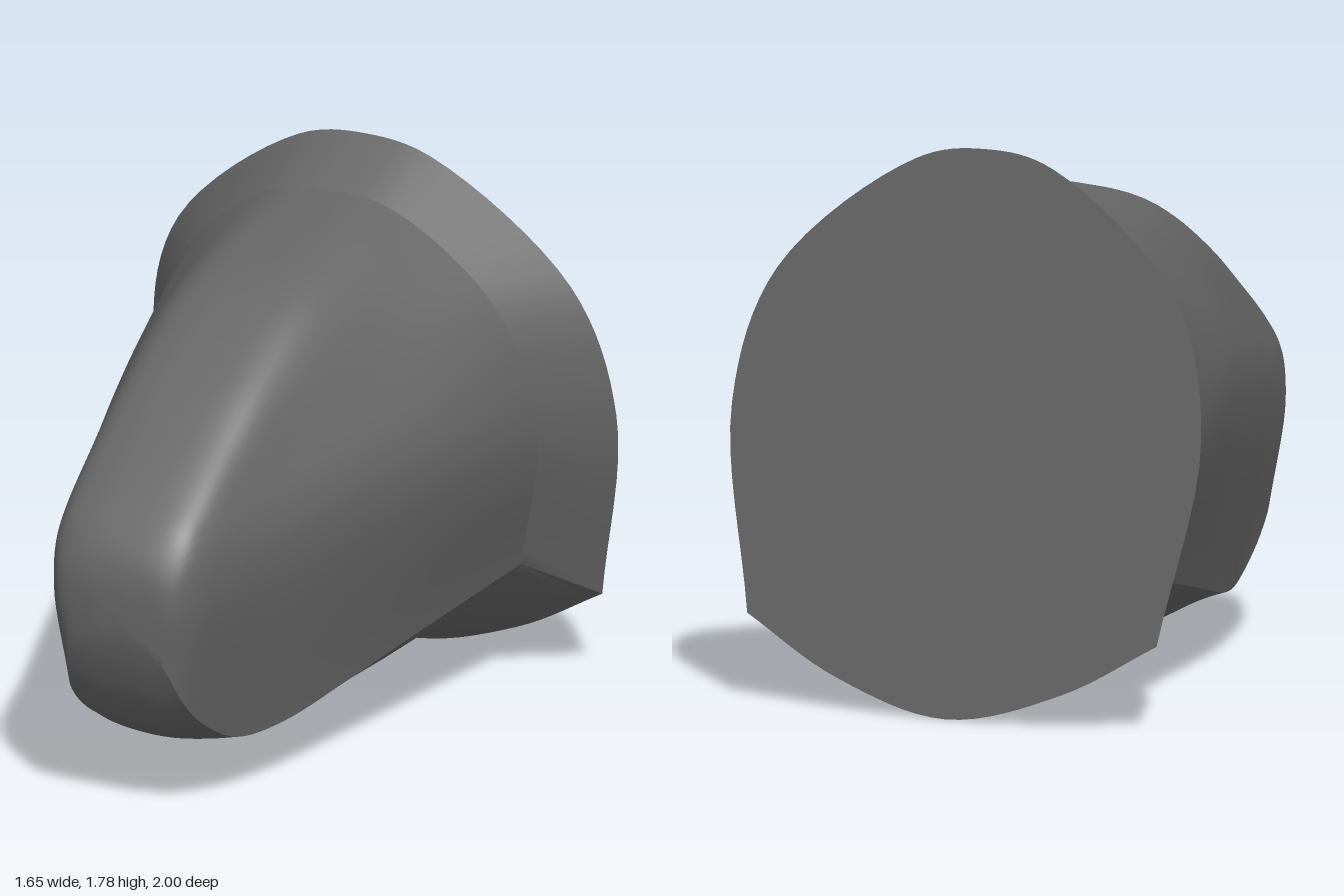
import * as THREE from 'three';
import { toCreasedNormals } from 'three/addons/utils/BufferGeometryUtils.js';

const V = (x, y, z) => new THREE.Vector3(x, y, z);

// Half-section key points: top, crown, shoulder, widest, lower corner, underside, bottom
function section(zAt, top, cx, cy, sx, sy, wx, wy, kx, ky, mx, my, bottom) {
  const pts = [[0, top], [cx, cy], [sx, sy], [wx, wy], [kx, ky], [mx, my], [0, bottom]];
  return pts.map(([x, y]) => V(x, y, zAt(y)));
}

// Full closed ring: smooth over the top, sharp at both lower corners
function ring(keys) {
  const mirror = p => V(-p.x, p.y, p.z);
  const [top, crown, shoulder, wide, corner, under, bottom] = keys;
  const side = [crown, shoulder, wide, corner];
  const upper = new THREE.CatmullRomCurve3([...side.map(mirror).reverse(), top, ...side]);
  const lower = new THREE.CatmullRomCurve3([corner, under, bottom, mirror(under), mirror(corner)]);
  return [...upper.getPoints(64).slice(0, -1), ...lower.getPoints(32)];
}

// Skin between successive rings running from back to front
function loft(rings, crease) {
  const n = rings[0].length, index = [];
  for (let i = 0; i < rings.length - 1; i++) {
    for (let j = 0; j < n - 1; j++) {
      const a = i * n + j, b = a + 1, c = a + n, d = c + 1;
      index.push(a, c, b, b, c, d);
    }
  }
  const g = new THREE.BufferGeometry().setFromPoints(rings.flat());
  g.setIndex(index);
  return toCreasedNormals(g, crease);
}

export function createModel() {
  const group = new THREE.Group();
  const grey = new THREE.MeshStandardMaterial({ color: 0x666666 });
  grey.name = 'grey';
  const add = (name, geometry) => {
    const mesh = new THREE.Mesh(geometry, grey);
    mesh.name = name;
    group.add(mesh);
  };

  // Slanted rim and seam sections
  const rim = section(y => -1 + 0.16 * y,
    1.78, 0.24, 1.735, 0.7, 1.36, 0.825, 0.93, 0.72, 0.28, 0.4, 0.105, 0);
  const seam = section(y => Math.max(-0.69, -0.76 + 0.16 * y),
    1.66, 0.22, 1.625, 0.55, 1.35, 0.67, 0.95, 0.57, 0.44, 0.28, 0.2, 0.11);

  // Body sections from the seam to the rounded nose
  const stations = [
    [-0.2, 1.6, 0.22, 1.565, 0.47, 1.28, 0.58, 0.97, 0.45, 0.34, 0.24, 0.175, 0.115],
    [0.1, 1.52, 0.22, 1.48, 0.4, 1.22, 0.495, 0.95, 0.375, 0.275, 0.2, 0.165, 0.13],
    [0.4, 1.365, 0.215, 1.33, 0.335, 1.13, 0.405, 0.9, 0.295, 0.215, 0.16, 0.18, 0.155],
    [0.6, 1.235, 0.21, 1.2, 0.3, 1.05, 0.345, 0.85, 0.24, 0.22, 0.13, 0.195, 0.18],
    [0.8, 1.09, 0.2, 1.06, 0.265, 0.97, 0.29, 0.8, 0.215, 0.33, 0.12, 0.29, 0.28],
    [0.9, 1.0, 0.18, 0.98, 0.235, 0.92, 0.255, 0.75, 0.2, 0.43, 0.11, 0.405, 0.4],
    [0.97, 0.9, 0.13, 0.88, 0.185, 0.83, 0.2, 0.73, 0.16, 0.57, 0.09, 0.555, 0.55],
    [0.995, 0.81, 0.06, 0.8, 0.085, 0.78, 0.09, 0.73, 0.07, 0.66, 0.04, 0.65, 0.65],
  ];
  const sections = [seam, ...stations.map(([z, ...s]) => section(() => z, ...s)),
    seam.map(() => V(0, 0.73, 1))];

  // Smooth each key point along the length, then skin the body
  const rails = seam.map((_, k) => new THREE.CatmullRomCurve3(sections.map(s => s[k])));
  const steps = (sections.length - 1) * 6;
  const bodyRings = [];
  for (let i = 0; i <= steps; i++) bodyRings.push(ring(rails.map(r => r.getPoint(i / steps))));
  add('body', loft(bodyRings, 0.45));

  // Flared collar
  const rimRing = ring(rim);
  add('flaredCollar', loft([rimRing, ring(seam)], 0.45));

  // Flat back
  const centre = rimRing.map(() => V(0, 0.9, -1 + 0.16 * 0.9));
  add('backPlate', loft([centre, rimRing], 0.1));

  return group;
}
